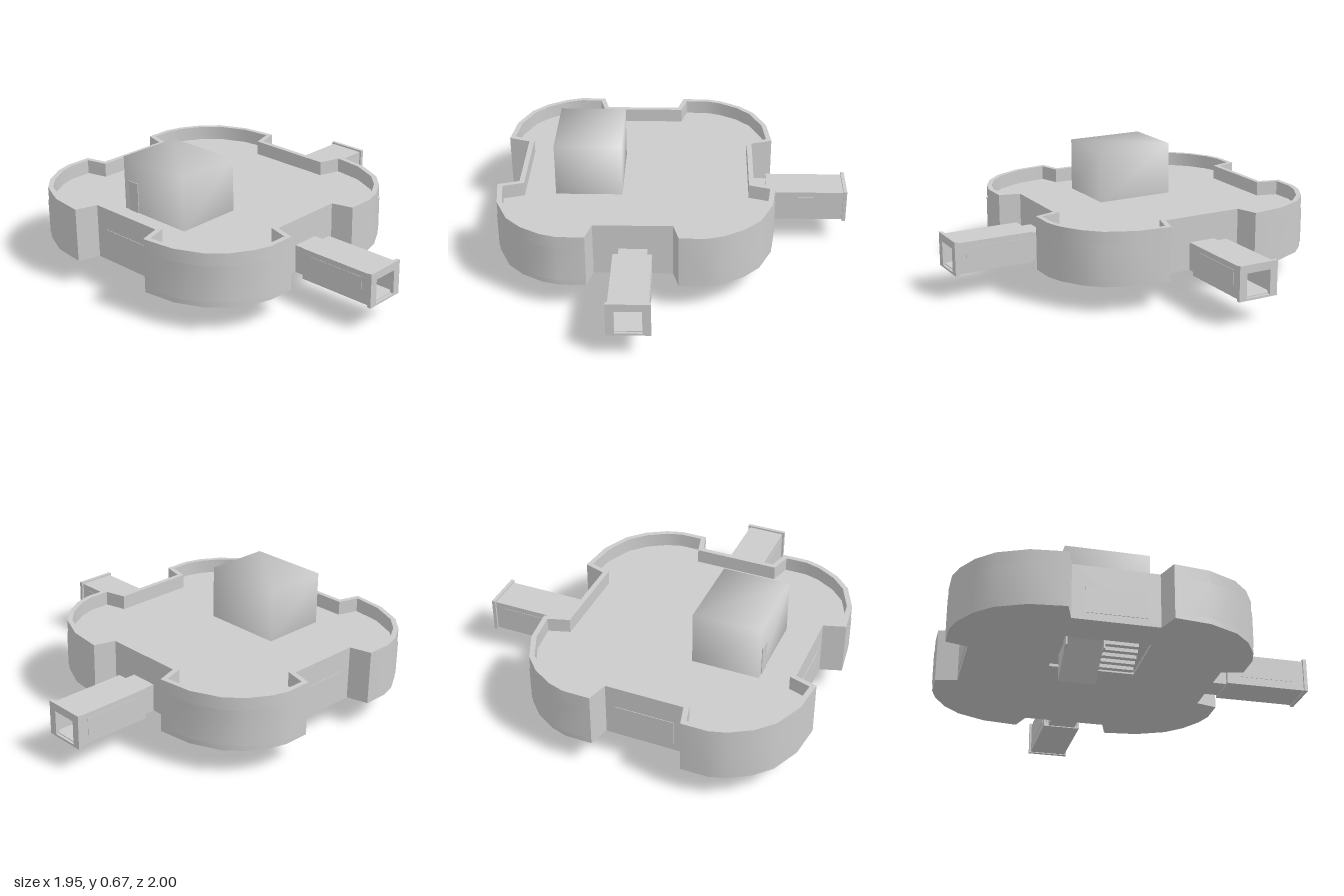
import * as THREE from 'three';
import { mergeVertices, toCreasedNormals } from 'three/addons/utils/BufferGeometryUtils.js';

const mat = new THREE.MeshStandardMaterial({ color: 0xcccccc });
const thin = new THREE.MeshStandardMaterial({ color: 0xcccccc, side: THREE.DoubleSide });
const CX = -0.21, CZ = -0.208; // middle of the main building

function add(parent, name, geo, material = mat) {
  const m = new THREE.Mesh(geo, material);
  m.name = name;
  parent.add(m);
  return m;
}
// box given by its limits
function box(parent, name, x0, x1, y0, y1, z0, z1) {
  const g = new THREE.BoxGeometry(x1 - x0, y1 - y0, z1 - z0);
  return add(parent, name, g.translate((x0 + x1) / 2, (y0 + y1) / 2, (z0 + z1) / 2));
}
const V = (x, y) => new THREE.Vector2(x, y);

// one rounded corner bay, from the notch in the z side to the notch in the x side
const bay = [V(0.213, 0.675), V(0.244, 0.792), V(0.39, 0.792), V(0.48, 0.765), V(0.59, 0.70),
  V(0.675, 0.612), V(0.745, 0.455), V(0.768, 0.265), V(0.65, 0.228)];

// mirrored into a closed counter-clockwise outline
function outline() {
  const flip = (sx, sy) => bay.map(p => V(p.x * sx, p.y * sy));
  return [...flip(1, 1).reverse(), ...flip(-1, 1), ...flip(-1, -1).reverse(), ...flip(1, -1)];
}
// mitred inward offset of a closed outline
function inset(pts, d) {
  const n = pts.length;
  return pts.map((p, i) => {
    const a = p.clone().sub(pts[(i + n - 1) % n]).normalize();
    const b = pts[(i + 1) % n].clone().sub(p).normalize();
    const na = V(-a.y, a.x), nb = V(-b.y, b.x);
    return na.add(nb).multiplyScalar(d / (1 + a.dot(b))).add(p);
  });
}
// upright prism over a plan outline (plan y points to -z)
function prism(pts, holes, y0, y1) {
  const s = new THREE.Shape(pts);
  holes.forEach(h => s.holes.push(new THREE.Path(h)));
  const g = new THREE.ExtrudeGeometry(s, { depth: y1 - y0, bevelEnabled: false });
  g.rotateX(-Math.PI / 2).translate(CX, y0, CZ);
  return toCreasedNormals(g, 0.6);
}
const rect = (x0, x1, y0, y1) => [V(x0, y0), V(x1, y0), V(x1, y1), V(x0, y1)];

// curved window band along one bay
function bayWindow(sx, sz, y0, y1) {
  const run = bay.slice(1, 8);
  run[0] = run[0].clone().lerp(run[1], 0.1);
  run[6] = run[6].clone().lerp(run[5], 0.1);
  const pos = [], idx = [];
  run.forEach((p, i) => {
    const k = 1.004;
    for (const y of [y0, y1]) pos.push(CX + p.x * sx * k, y, CZ + p.y * sz * k);
    if (!i) return;
    const a = 2 * i - 2;
    if (sx * sz > 0) idx.push(a, a + 2, a + 1, a + 1, a + 2, a + 3);
    else idx.push(a, a + 1, a + 2, a + 1, a + 3, a + 2);
  });
  const g = new THREE.BufferGeometry();
  g.setAttribute('position', new THREE.Float32BufferAttribute(pos, 3));
  g.setIndex(idx);
  g.computeVertexNormals();
  return g;
}

// hollow square tube running along +z
function tube(w, y0, y1, z0, z1, wall) {
  const s = new THREE.Shape(rect(-w, w, y0, y1));
  s.holes.push(new THREE.Path(rect(-w + wall, w - wall, y0 + 0.012, y1 - wall)));
  return new THREE.ExtrudeGeometry(s, { depth: z1 - z0, bevelEnabled: false }).translate(0, 0, z0);
}

// telescoping boarding tunnel; distances are measured from the building centre
function tunnel(name, wallAt, bodyAt, end) {
  const g = new THREE.Group();
  g.name = name;
  add(g, 'tunnelNeck', tube(0.077, 0.15, 0.305, wallAt - 0.01, bodyAt + 0.02, 0.008));
  add(g, 'tunnelBody', tube(0.104, 0.145, 0.32, bodyAt, end - 0.015, 0.015));
  add(g, 'tunnelInnerWall', tube(0.088, 0.148, 0.305, bodyAt, bodyAt + 0.01, 0.012));
  add(g, 'tunnelEndFrame', tube(0.115, 0.14, 0.33, end - 0.02, end, 0.044));
  box(g, 'tunnelDoor', -0.028, 0.07, 0.155, 0.285, wallAt, wallAt + 0.008);
  for (const s of [-1, 1]) {
    const x = s * 0.105;
    box(g, 'tunnelWindow', x - 0.001, x + 0.001, 0.19, 0.29, bodyAt + 0.06, end - 0.07);
  }
  g.position.set(CX, 0, CZ);
  return g;
}

export function createModel() {
  const root = new THREE.Group();
  root.name = 'terminal';

  // outer wall with parapet, floor and roof slabs, open over the stairwell
  const outer = outline(), inner = inset(outer, 0.028);
  const well = rect(-0.45, -0.08, -0.23, 0.23);
  add(root, 'outerWall', prism(outer, [inner], 0.15, 0.45));
  add(root, 'floorSlab', prism(inner, [well], 0.15, 0.165));
  add(root, 'roofSlab', prism(inner, [rect(-0.445, -0.085, -0.225, 0.225)], 0.355, 0.37));

  // curved windows on the four bays
  for (const sx of [-1, 1]) for (const sz of [-1, 1]) {
    add(root, 'bayWindow', bayWindow(sx, sz, 0.18, 0.38));
  }
  // flat windows in the two notches without tunnels
  box(root, 'leftNotchWindow', CX - 0.653, CX - 0.64, 0.19, 0.33, CZ - 0.16, CZ + 0.16);
  box(root, 'backNotchWindow', CX - 0.16, CX + 0.16, 0.19, 0.33, CZ - 0.678, CZ - 0.665);

  // boarding tunnels to the front and the side
  root.add(tunnel('frontTunnel', 0.675, 0.75, 1.208));
  const side = tunnel('sideTunnel', 0.65, 0.73, 1.185);
  side.rotation.y = Math.PI / 2;
  root.add(side);

  // rooftop stair house, softly shaded and open below
  const b = new THREE.BoxGeometry(0.37, 0.31, 0.455);
  const faces = Array.from(b.index.array);
  faces.splice(18, 6);
  b.setIndex(faces);
  b.deleteAttribute('uv');
  b.deleteAttribute('normal');
  const house = mergeVertices(b);
  house.computeVertexNormals();
  add(root, 'stairHouse', house.translate(-0.475, 0.515, CZ), thin);
  box(root, 'stairHouseDoor', -0.664, -0.655, 0.37, 0.54, -0.40, -0.33);

  // stairs from the hall up into the stair house
  const steps = 10;
  for (let i = 0; i < steps; i++) {
    const x = -0.31 - i * 0.03, y = 0.17 + i * 0.02;
    box(root, 'stairStep', x - 0.03, x, y - 0.02, y, -0.18, 0.01);
  }

  // lower flight: side plates, sloping underside and rails
  const tri = new THREE.Shape([V(-0.65, 0.15), V(-0.44, 0), V(-0.44, 0.15)]);
  for (const z of [-0.415, -0.22]) {
    add(root, 'lowerStairSide', new THREE.ShapeGeometry(tri).translate(0, 0, z), thin);
    box(root, 'lowerStairRail', -0.65, -0.59, 0.11, 0.16, z - 0.004, z + 0.004);
  }
  const under = new THREE.PlaneGeometry(Math.hypot(0.21, 0.15), 0.195);
  under.rotateX(Math.PI / 2).rotateZ(-Math.atan2(0.15, 0.21)).translate(-0.545, 0.075, -0.3175);
  add(root, 'lowerStairUnderside', under);

  return root;
}
